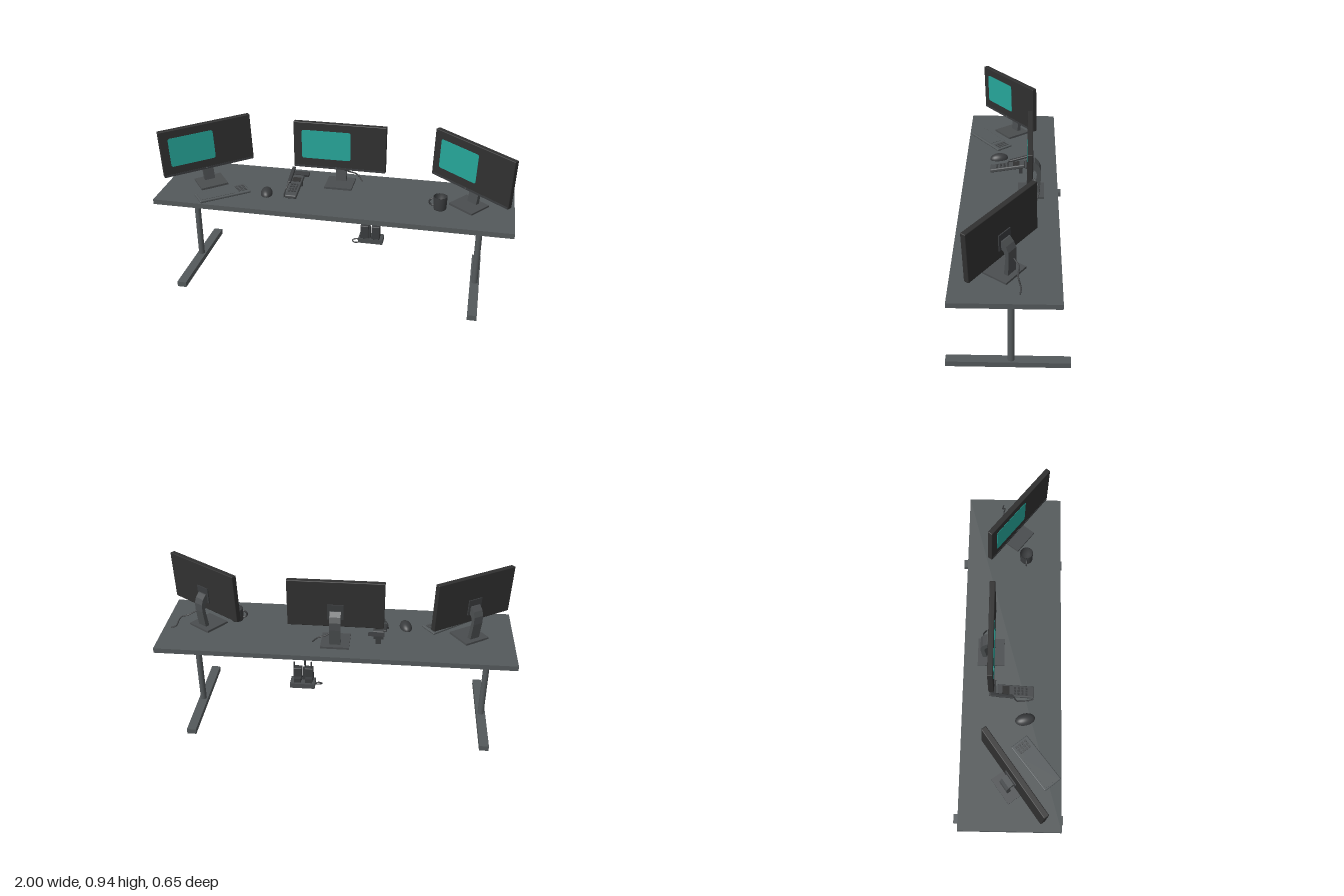
import * as THREE from 'three';
import { RoundedBoxGeometry } from 'three/addons/geometries/RoundedBoxGeometry.js';

const mat = (name, color) => {
  const m = new THREE.MeshStandardMaterial({ color });
  m.name = name;
  return m;
};

export function createModel() {
  const grey = mat('slate grey', 0x54595b);
  const stand = mat('stand grey', 0x4a4d4f);
  const black = mat('screen black', 0x303030);
  const dark = mat('dark plastic', 0x3a3c3e);
  const teal = mat('teal', 0x26a69a);
  const model = new THREE.Group();
  model.name = 'officeDesk';
  const TOP = 0.545;

  const add = (parent, name, geo, material, x = 0, y = 0, z = 0) => {
    const mesh = new THREE.Mesh(geo, material);
    mesh.name = name;
    mesh.position.set(x, y, z);
    parent.add(mesh);
    return mesh;
  };
  const box = (w, h, d) => new THREE.BoxGeometry(w, h, d);
  const group = (name, x, y, z, ry = 0, rz = 0) => {
    const g = new THREE.Group();
    g.name = name;
    g.position.set(x, y, z);
    g.rotation.set(0, ry, rz);
    model.add(g);
    return g;
  };
  const cable = (parent, name, pts, r = 0.004) => {
    const curve = new THREE.CatmullRomCurve3(pts.map(p => new THREE.Vector3(...p)));
    return add(parent, name, new THREE.TubeGeometry(curve, 32, r, 8), dark);
  };
  const roundedRect = (x0, y0, x1, y1, r) => {
    const s = new THREE.Shape();
    s.moveTo(x0 + r, y0);
    s.lineTo(x1 - r, y0);
    s.quadraticCurveTo(x1, y0, x1, y0 + r);
    s.lineTo(x1, y1 - r);
    s.quadraticCurveTo(x1, y1, x1 - r, y1);
    s.lineTo(x0 + r, y1);
    s.quadraticCurveTo(x0, y1, x0, y1 - r);
    s.lineTo(x0, y0 + r);
    s.quadraticCurveTo(x0, y0, x0 + r, y0);
    return s;
  };

  // Table top and T-shaped legs
  add(model, 'tableTop', box(2, 0.029, 0.55), grey, 0, 0.5305, 0.011);
  for (const x of [-0.865, 0.822]) {
    const leg = group('leg', x, 0, 0);
    add(leg, 'foot', box(0.053, 0.032, 0.65), grey, 0, 0.016, 0);
    add(leg, 'post', new THREE.CylinderGeometry(0.018, 0.018, 0.486, 20), grey, 0, 0.274, -0.016);
  }

  // Monitors: panel, lit window, bent neck and base
  const neckShape = new THREE.Shape([
    [0.03, 0.01], [0.055, 0.01], [0.064, 0.11], [0.063, 0.155], [0.05, 0.185],
    [0.028, 0.208], [0.012, 0.208], [0.012, 0.165], [0.035, 0.15], [0.044, 0.12],
  ].map(p => new THREE.Vector2(...p)).reverse());
  const neckGeo = new THREE.ExtrudeGeometry(neckShape, { depth: 0.062, bevelEnabled: false });
  neckGeo.translate(0, 0, -0.031).rotateY(Math.PI / 2);
  const monitor = (name, x, z, ry, rz, tealRight) => {
    const g = group(name, x, TOP, z, ry, rz);
    add(g, 'panel', new RoundedBoxGeometry(0.535, 0.277, 0.03, 2, 0.004), black, 0, 0.245, 0);
    add(g, 'bottomBezel', box(0.525, 0.012, 0.004), dark, 0, 0.113, 0.0145);
    add(g, 'powerButton', box(0.012, 0.005, 0.002), grey, -0.02, 0.115, 0.017);
    const win = new THREE.ExtrudeGeometry(roundedRect(-0.22, 0.165, tealRight, 0.337, 0.014),
      { depth: 0.002, bevelEnabled: false });
    add(g, 'screenWindow', win, teal, 0, 0, 0.0145);
    add(g, 'neck', neckGeo, stand);
    add(g, 'mount', box(0.09, 0.09, 0.008), dark, 0, 0.2, -0.017);
    add(g, 'base', box(0.16, 0.012, 0.15), stand, 0, 0.008, -0.008);
  };
  monitor('centreMonitor', -0.002, -0.102, 0, 0, 0.064);
  monitor('rightMonitor', -0.745, 0.022, 0.634, 0.047, 0.04);
  monitor('leftMonitor', 0.745, 0.025, -0.64, -0.047, 0.04);
  cable(model, 'centreCable', [[0.01, 0.64, -0.125], [0.045, 0.615, -0.15], [0.09, 0.6, -0.155], [0.125, 0.562, -0.14]]);
  cable(model, 'leftCable', [[0.80, 0.66, -0.03], [0.845, 0.645, -0.055], [0.89, 0.625, -0.05], [0.92, 0.575, -0.065], [0.95, 0.56, -0.06]]);

  // Keyboard with number pad
  const keyboard = group('keyboard', -0.635, TOP, 0.147, 0.67);
  add(keyboard, 'keyboardBody', new RoundedBoxGeometry(0.3, 0.014, 0.11, 2, 0.005), grey, 0, 0.007, 0);
  add(keyboard, 'keyField', box(0.2, 0.003, 0.085), grey, -0.04, 0.0145, 0);
  for (let i = 0; i < 12; i++)
    add(keyboard, 'key', box(0.014, 0.004, 0.014), stand,
      0.092 + (i % 3) * 0.019, 0.0155, -0.029 + Math.floor(i / 3) * 0.019);

  // Mouse
  const mouse = group('mouse', -0.392, TOP, 0.086, 0.25);
  const mouseGeo = new THREE.SphereGeometry(1, 24, 10, 0, Math.PI * 2, 0, Math.PI / 2);
  add(mouse, 'mouseBody', mouseGeo, dark).scale.set(0.034, 0.034, 0.056);

  // Desk phone: sloped console with keypad, prop, screen and handset
  const phone = group('phone', -0.24, TOP, 0.01);
  const console_ = new THREE.Group();
  console_.name = 'phoneConsole';
  console_.position.set(0, 0.031, 0.02);
  console_.rotation.x = 0.17;
  phone.add(console_);
  add(console_, 'consoleBody', new RoundedBoxGeometry(0.066, 0.022, 0.21, 2, 0.006), stand);
  add(console_, 'display', box(0.048, 0.003, 0.04), black, 0, 0.0115, -0.055);
  for (let i = 0; i < 12; i++)
    add(console_, 'phoneKey', box(0.011, 0.004, 0.011), dark,
      -0.016 + (i % 3) * 0.016, 0.012, -0.005 + Math.floor(i / 3) * 0.022);
  add(phone, 'prop', box(0.055, 0.04, 0.02), dark, 0, 0.02, -0.06);
  add(phone, 'cradle', box(0.09, 0.012, 0.035), dark, 0.012, 0.055, -0.105).rotation.x = 0.2;
  add(phone, 'cradleFoot', box(0.03, 0.055, 0.014), dark, 0, 0.027, -0.11);
  const handset = add(phone, 'handset', new RoundedBoxGeometry(0.02, 0.014, 0.15, 2, 0.005), dark, -0.036, 0.068, -0.055);
  handset.rotation.x = 0.3;
  handset.scale.z = 0.9;
  cable(phone, 'handsetCord', [[-0.036, 0.05, 0.01], [-0.05, 0.015, 0.03], [-0.045, 0.006, 0.09], [-0.036, 0.006, 0.12]]);

  // Open mug with a handle
  const mug = group('mug', 0.595, TOP, 0.082);
  const cup = [[0, 0.002], [0.032, 0.002], [0.036, 0.008], [0.038, 0.078], [0.035, 0.078], [0.033, 0.01], [0, 0.01]];
  add(mug, 'cup', new THREE.LatheGeometry(cup.map(p => new THREE.Vector2(...p)), 32), dark);
  add(mug, 'handle', new THREE.TorusGeometry(0.02, 0.005, 8, 24), dark, -0.04, 0.042, 0);

  // Power strip with plugs hanging under the table
  const strip = group('powerStrip', 0.195, 0.225, -0.07);
  add(strip, 'stripBody', box(0.145, 0.03, 0.075), stand);
  for (const x of [-0.036, 0.03]) {
    add(strip, 'plug', new RoundedBoxGeometry(0.05, 0.085, 0.036, 2, 0.005), dark, x, 0.057, 0.018);
    add(strip, 'plugCollar', box(0.04, 0.03, 0.025), dark, x, 0.026, -0.012);
  }
  for (const [x, top, z] of [[-0.05, 0.14, 0.012], [-0.012, 0.168, 0.022], [0.05, 0.138, 0.01]])
    add(strip, 'plugLead', new THREE.CylinderGeometry(0.005, 0.005, top - 0.09, 10), dark, x, (top + 0.09) / 2, z);
  add(strip, 'middlePlug', box(0.016, 0.08, 0.02), dark, -0.008, 0.055, 0.02);
  cable(strip, 'stripCable', [[-0.07, -0.005, 0.01], [-0.095, -0.004, 0.015], [-0.11, -0.012, 0.02], [-0.098, -0.022, 0.025], [-0.065, -0.02, 0.02]]);

  return model;
}
